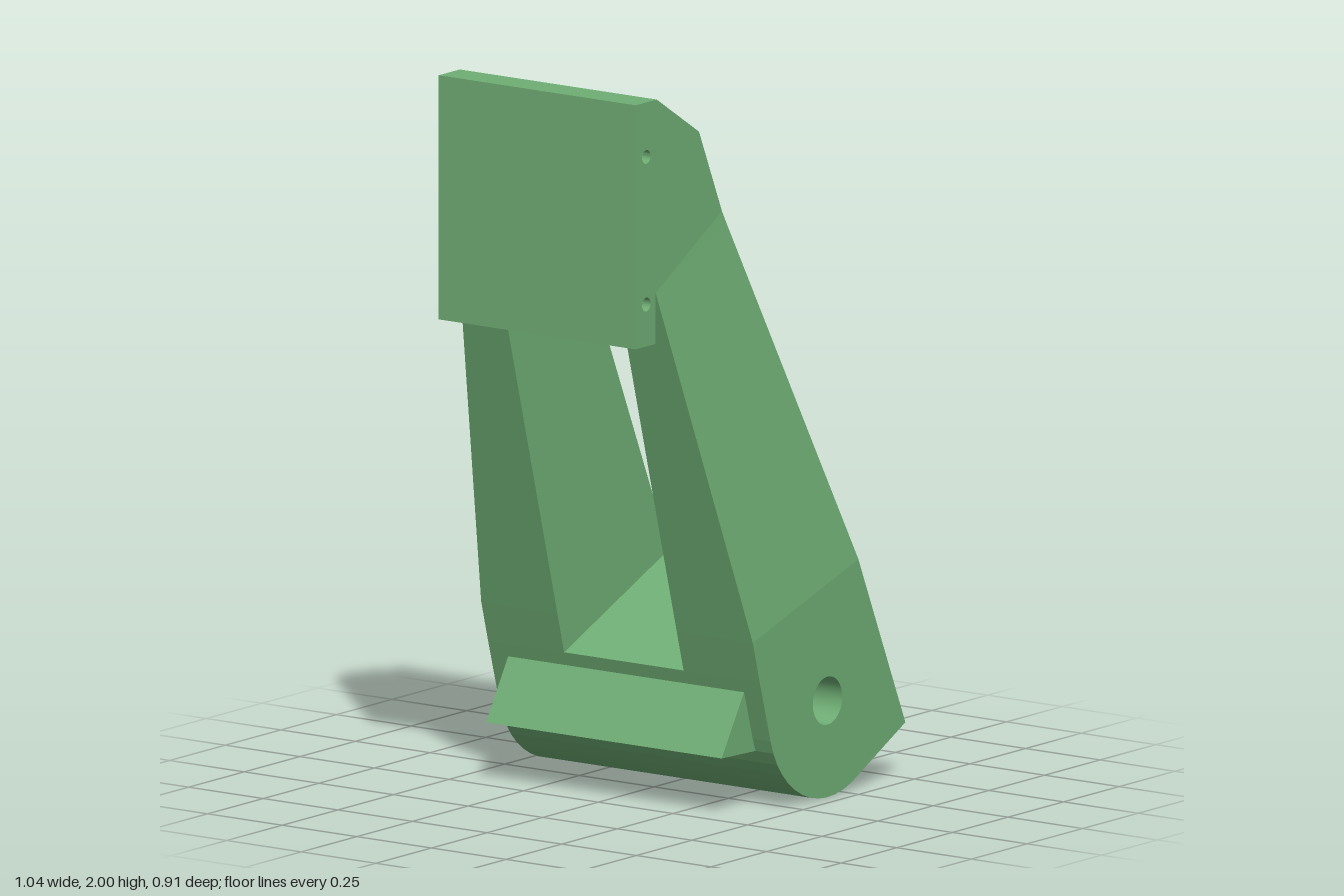
import * as THREE from 'three';
import { toCreasedNormals } from 'three/addons/utils/BufferGeometryUtils.js';

// Profile points: x, y and half the width (z) at that point
const P = (x, y, half) => ({ x, y, half });
const NARROW = 0.33, WIDE = 0.455, WINDOW = 0.2;

// Triangle collector for flat caps and for walls that run across z
function surface() {
  const pos = [];
  const quad = (a, b, c, d) => pos.push(...a, ...b, ...c, ...a, ...c, ...d);
  return {
    // Wall over edge p-q; it faces right of the direction of travel
    wall(p, q, p0 = -p.half, p1 = p.half, q0 = -q.half, q1 = q.half) {
      quad([p.x, p.y, p1], [p.x, p.y, p0], [q.x, q.y, q0], [q.x, q.y, q1]);
    },
    // Mirrored pair of caps at z = +half and z = -half
    caps(outline, holes = []) {
      const all = [outline, ...holes].flat();
      const tris = THREE.ShapeUtils.triangulateShape(
        outline.map(p => new THREE.Vector2(p.x, p.y)),
        holes.map(h => h.map(p => new THREE.Vector2(p.x, p.y))));
      for (const [a, b, c] of tris) {
        for (const i of [a, b, c]) pos.push(all[i].x, all[i].y, all[i].half);
        for (const i of [a, c, b]) pos.push(all[i].x, all[i].y, -all[i].half);
      }
    },
    geometry() {
      const g = new THREE.BufferGeometry();
      g.setAttribute('position', new THREE.Float32BufferAttribute(pos, 3));
      g.computeVertexNormals();
      return g;
    },
  };
}

// Clockwise circle, so its walls face into the hole
function circle(x, y, r, half, n = 32) {
  return Array.from({ length: n }, (_, i) => {
    const a = -i / n * Math.PI * 2;
    return P(x + r * Math.cos(a), y + r * Math.sin(a), half);
  });
}

export function createModel() {
  const group = new THREE.Group();
  const material = new THREE.MeshStandardMaterial({ color: 0x6fae74 });
  const add = (name, geometry) => {
    const mesh = new THREE.Mesh(geometry, material);
    mesh.name = name;
    group.add(mesh);
    return mesh;
  };

  // Corners shared by the sections
  const backTop = P(-0.435, 1.47, NARROW), backLow = P(-0.166, 0.48, WIDE);
  const frontTop = P(-0.137, 1.645, NARROW), frontLow = P(0.309, 0.63, WIDE);
  const winBack = P(-0.135, 0.367, WIDE);
  const winFront = P(0.335, 0.57, WIDE), winTop = P(-0.122, 1.61, 0.334);

  // Rounded foot around the pivot
  const pivot = { x: 0.17, y: 0.265 };
  const arc = [];
  for (let i = 0; i <= 12; i++) {
    const a = THREE.MathUtils.degToRad(195 + i / 12 * 99);
    arc.push(P(pivot.x + 0.265 * Math.cos(a), pivot.y + 0.265 * Math.sin(a), WIDE));
  }
  const toe = P(0.52, 0.147, WIDE);

  // Counter-clockwise outline of each section
  const plateFoot = [P(-0.525, 1.33, NARROW), P(-0.435, 1.33, NARROW)];
  const crown = [P(-0.24, 1.88, NARROW), P(-0.43, 2, NARROW), P(-0.525, 2, NARROW)];
  const head = [...plateFoot, backTop, frontTop, ...crown];
  const middle = [backTop, backLow, frontLow, winTop, frontTop];
  const foot = [backLow, winBack, ...arc, toe, winFront, frontLow];

  const screwHoles = [1.85, 1.445].map(y => circle(-0.477, y, 0.019, NARROW, 20));
  const pivotHole = circle(pivot.x, pivot.y, 0.066, WIDE, 40);

  // Arm: side faces, then the walls around the outline, split into rails at the window
  const arm = surface();
  arm.caps(head, screwHoles);
  arm.caps(middle);
  arm.caps(foot, [pivotHole]);
  const outline = [...plateFoot, backTop, backLow, winBack, ...arc, toe,
    winFront, frontLow, winTop, frontTop, ...crown];
  const open = new Set([backTop, backLow, winFront, frontLow]);
  outline.forEach((p, i) => {
    const q = outline[(i + 1) % outline.length];
    if (open.has(p)) {
      arm.wall(p, q, WINDOW, p.half, WINDOW, q.half);
      arm.wall(p, q, -p.half, -WINDOW, -q.half, -WINDOW);
    } else arm.wall(p, q);
  });
  add('arm', arm.geometry());

  // Window lining: floor, ceiling and inner cheeks
  const lining = surface();
  lining.wall(winFront, winBack, -WINDOW, WINDOW, -WINDOW, WINDOW);
  lining.wall(backTop, winTop, -WINDOW, WINDOW, -WINDOW, WINDOW);
  lining.caps([backTop, backLow, winBack, winFront, frontLow, winTop]
    .map(p => P(p.x, p.y, -WINDOW)));
  add('windowLining', lining.geometry());

  // Bores through the pivot and the mounting plate
  const bores = { pivotBore: pivotHole, upperScrewBore: screwHoles[0], lowerScrewBore: screwHoles[1] };
  for (const [name, ring] of Object.entries(bores)) {
    const bore = surface();
    ring.forEach((p, i) => bore.wall(p, ring[(i + 1) % ring.length]));
    add(name, toCreasedNormals(bore.geometry(), 0.6));
  }

  // Wedge-shaped ledge behind the foot
  const wedge = new THREE.Shape([[-0.225, 0.165], [-0.06, 0.16], [-0.125, 0.33]]
    .map(p => new THREE.Vector2(...p)));
  add('rearWedge', new THREE.ExtrudeGeometry(wedge, { depth: 0.79, bevelEnabled: false }))
    .position.z = -0.395;

  return group;
}
